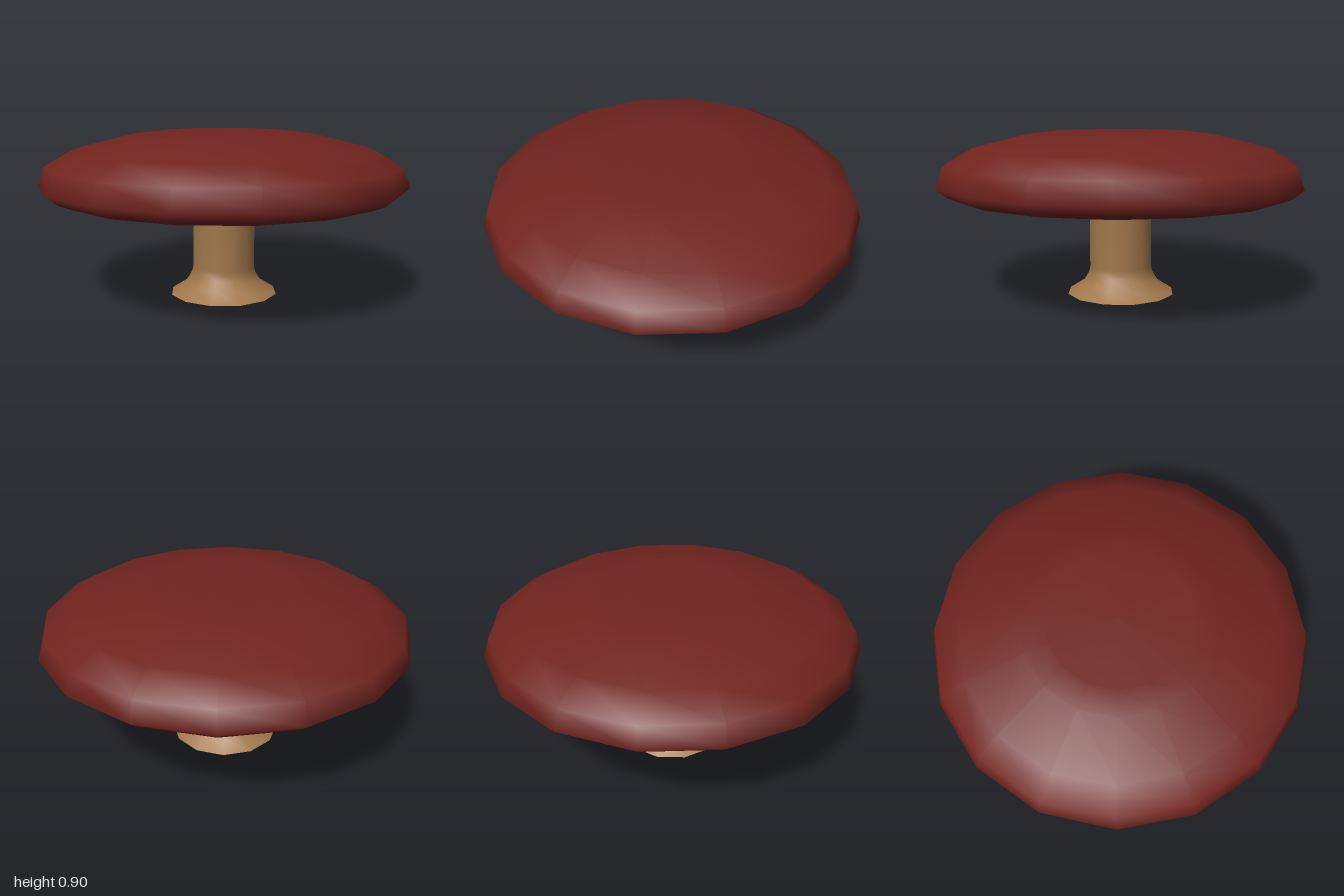
import * as THREE from 'three';

const material = (color) => new THREE.MeshStandardMaterial({ color, roughness: 0.9 });

// Smooth surface of revolution; profile runs from bottom to top as [radius, height]
function turned(name, profile, sides, mat) {
  const points = profile.map(([r, y]) => new THREE.Vector2(r, y));
  const mesh = new THREE.Mesh(new THREE.LatheGeometry(points, sides), mat);
  mesh.name = name;
  return mesh;
}

// Flat disc facing down
function underDisc(name, radius, y, sides, mat) {
  const mesh = new THREE.Mesh(new THREE.CircleGeometry(radius, sides), mat);
  mesh.name = name;
  mesh.rotation.x = Math.PI / 2;
  mesh.position.y = y;
  return mesh;
}

export function createModel() {
  const group = new THREE.Group();
  group.name = 'mushroom';
  const red = material(0x70231e);
  const tan = material(0xa1774b);
  const olive = material(0xc4a656);

  // Stem with a flared foot and a slight flare under the cap
  group.add(turned('stem', [
    [0.30, 0], [0.215, 0.055], [0.185, 0.105], [0.175, 0.15],
    [0.175, 0.51], [0.187, 0.55],
  ], 12, tan));
  group.add(underDisc('stemFoot', 0.30, 0, 12, tan));

  // Wide domed cap with a rolled rim
  group.add(turned('cap', [
    [0.88, 0.547], [0.945, 0.572], [1.0, 0.62], [0.965, 0.725],
    [0.82, 0.808], [0.51, 0.885], [0.38, 0.9], [0, 0.9],
  ], 16, red));
  group.add(underDisc('gills', 0.88, 0.547, 16, olive));

  return group;
}
